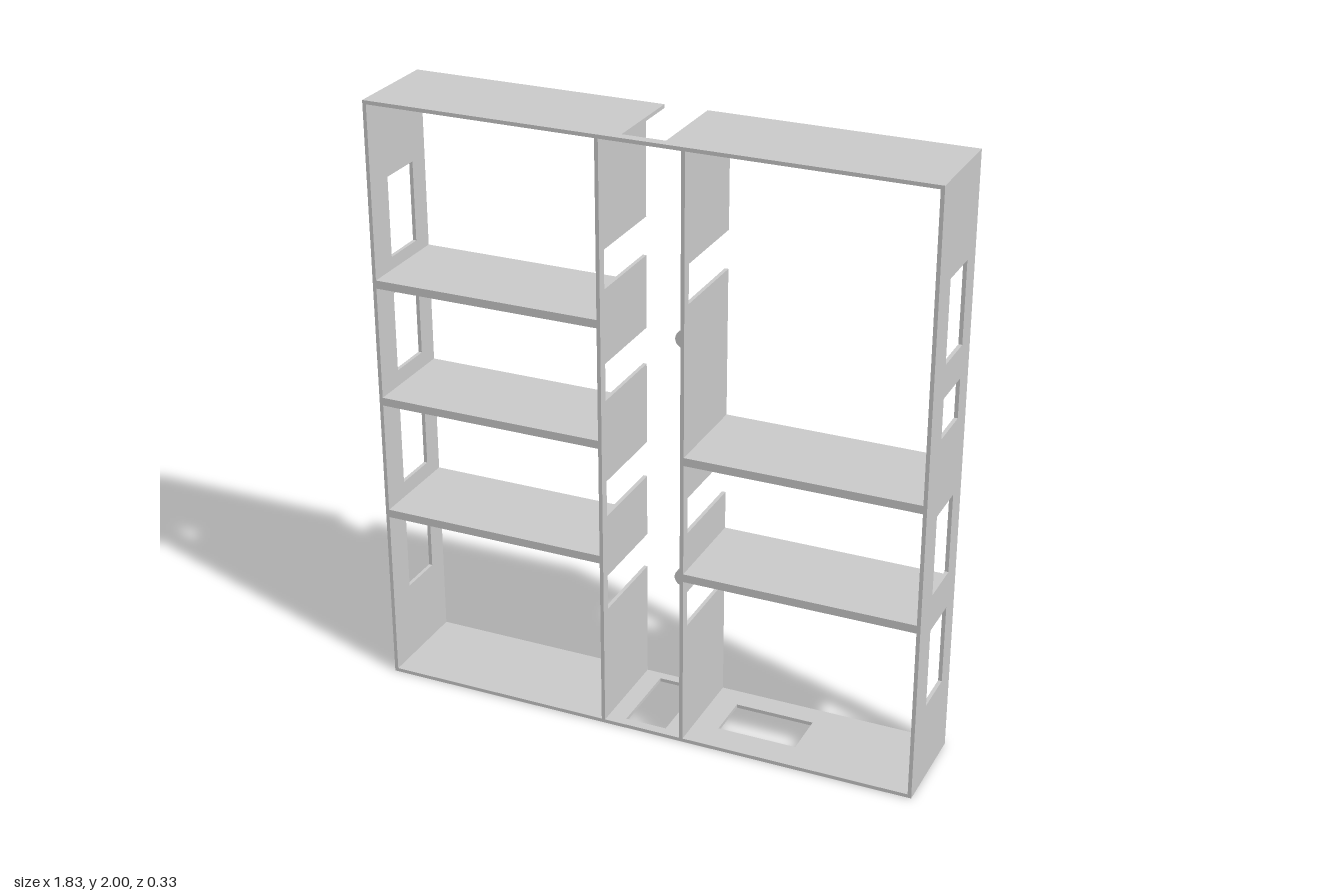
import * as THREE from 'three';

const W = 0.913, H = 2, D = 0.167, T = 0.012, INNER = 0.137;
const STRIP = 0.135; // cut-outs stop here, leaving a narrow front strip
const HOLE_Z = [-0.09, 0.065];

const material = new THREE.MeshStandardMaterial({ color: 0xcccccc });

// rectangle [u0, u1, v0, v1] as a list of points
const rect = ([u0, u1, v0, v1]) =>
  [[u0, v0], [u1, v0], [u1, v1], [u0, v1]].map(p => new THREE.Vector2(...p));

// flat panel from an outline and rectangular holes, centred on its thickness
function panel(outline, holes) {
  const shape = new THREE.Shape(outline);
  holes.forEach(h => shape.holes.push(new THREE.Path(rect(h))));
  return new THREE.ExtrudeGeometry(shape, { depth: T, bevelEnabled: false })
    .translate(0, 0, -T / 2);
}

export function createModel() {
  const group = new THREE.Group();
  const add = (name, geometry, x, y, z = 0) => {
    const mesh = new THREE.Mesh(geometry, material);
    mesh.name = name;
    mesh.position.set(x, y, z);
    group.add(mesh);
    return mesh;
  };

  // outer side walls with access windows, given as [bottom, top]
  const sideWindows = {
    leftSide: [[0.278, 0.544], [0.668, 0.934], [1.188, 1.318], [1.425, 1.69]],
    rightSide: [[0.278, 0.544], [0.668, 0.934], [1.07, 1.336], [1.46, 1.725]],
  };
  for (const [name, windows] of Object.entries(sideWindows)) {
    const geometry = panel(rect([-D, D, 0, H]), windows.map(w => [...HOLE_Z, ...w]));
    const x = (name === 'leftSide' ? 1 : -1) * (W - T / 2);
    add(name, geometry.rotateY(-Math.PI / 2), x, 0);
  }

  // inner walls of the central shaft, slotted from the back edge
  const slots = {
    leftDivider: [[0.414, 0.535], [0.743, 0.865], [1.507, 1.634]],
    rightDivider: [[0.41, 0.53], [0.743, 0.865], [1.14, 1.264], [1.507, 1.634]],
  };
  for (const [name, cuts] of Object.entries(slots)) {
    const outline = [[D, H - T], [D, T], [-D, T]];
    cuts.forEach(([a, b]) => outline.push([-D, a], [STRIP, a], [STRIP, b], [-D, b]));
    outline.push([-D, H - T]);
    const geometry = panel(outline.map(p => new THREE.Vector2(...p)), []);
    add(name, geometry.rotateY(-Math.PI / 2), name === 'leftDivider' ? INNER : -INNER, 0);
  }

  // floor with a shaft opening and a side opening
  const inside = W - T;
  const floor = panel(rect([-inside, inside, -D, D]),
    [[-0.07, 0.07, -STRIP, STRIP], [0.225, 0.49, ...HOLE_Z]]);
  add('floor', floor.rotateX(Math.PI / 2), 0, T / 2);

  // top with a slot open at the back
  const topOutline = [[-inside, D], [-inside, -D], [-0.07, -D], [-0.07, STRIP],
    [0.07, STRIP], [0.07, -D], [inside, -D], [inside, D]];
  const top = panel(topOutline.map(p => new THREE.Vector2(...p)), []);
  add('top', top.rotateX(Math.PI / 2), 0, H - T / 2);

  // shelves in both bays
  const bayWidth = W - T - INNER - T / 2;
  const shelf = new THREE.BoxGeometry(bayWidth, 0.027, 2 * D);
  const bayX = INNER + T / 2 + bayWidth / 2;
  [0.601, 1.003].forEach(y => add('leftShelf', shelf, bayX, y));
  [0.601, 1.003, 1.405].forEach(y => add('rightShelf', shelf, -bayX, y));

  // half-round rails along the shaft wall
  const rail = new THREE.CylinderGeometry(0.029, 0.029, 2 * D, 16, 1, false, Math.PI, Math.PI)
    .rotateX(Math.PI / 2);
  [0.601, 1.405].forEach(y => add('rail', rail, INNER + T / 2, y));

  return group;
}
